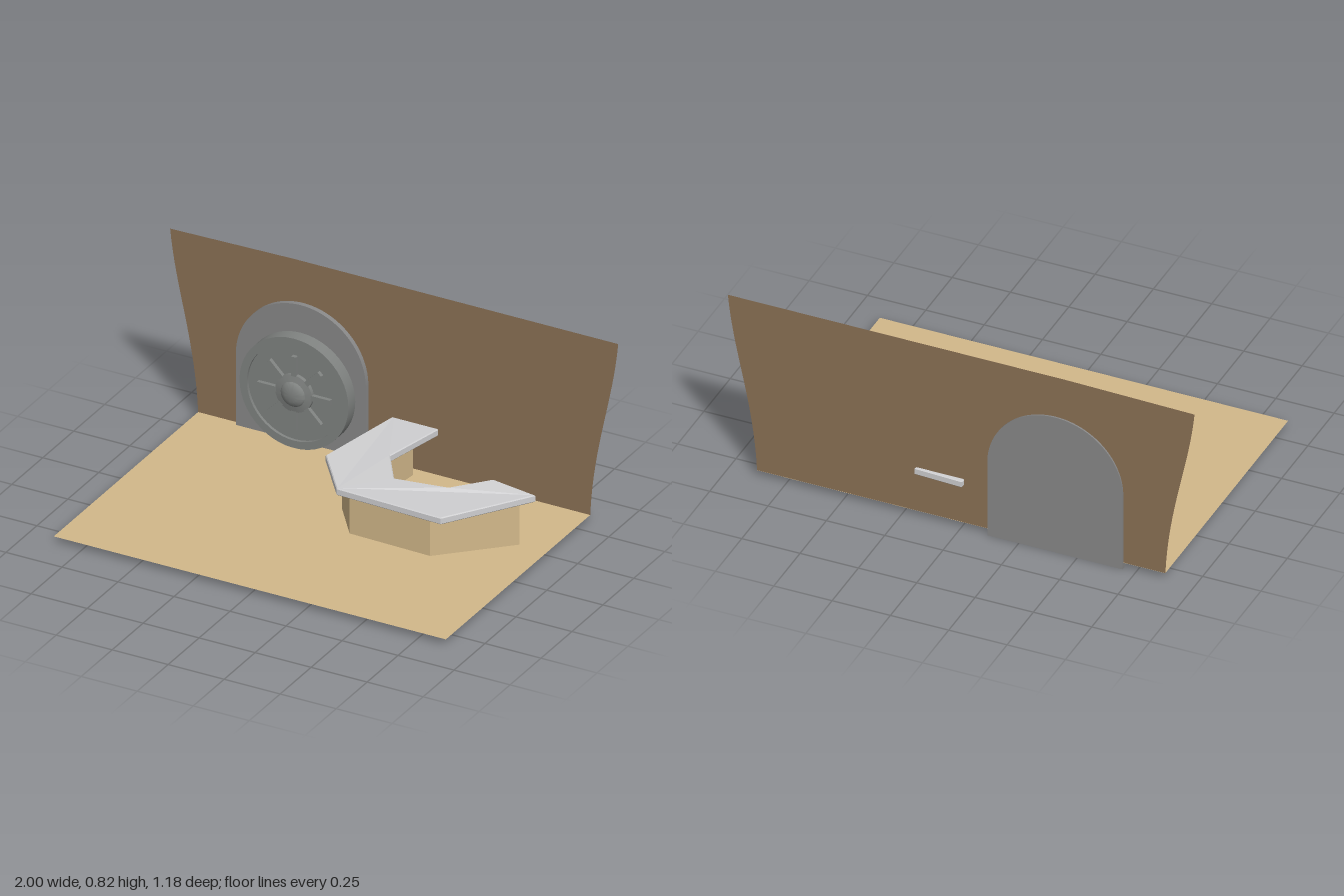
import * as THREE from 'three';
import { toCreasedNormals } from 'three/addons/utils/BufferGeometryUtils.js';

const mat = (name, color, side = THREE.FrontSide) => {
  const m = new THREE.MeshStandardMaterial({ color, side });
  m.name = name;
  return m;
};

export function createModel() {
  const tan = mat('tan', 0xd2b88a);
  const tanSheet = tan.clone();
  tanSheet.side = THREE.DoubleSide;
  const brown = mat('brown', 0x8b7155, THREE.DoubleSide);
  const grey = mat('doorGrey', 0x888888);
  const darkGrey = mat('wheelGrey', 0x808381);
  const lightGrey = mat('counterGrey', 0xd0d0d2);

  const model = new THREE.Group();
  model.name = 'counterRoom';
  const add = (name, geometry, material, parent = model) => {
    const mesh = new THREE.Mesh(geometry, material);
    mesh.name = name;
    parent.add(mesh);
    return mesh;
  };

  // Floor sheet
  const floor = new THREE.PlaneGeometry(1.75, 1.168).rotateX(-Math.PI / 2);
  add('floor', floor.translate(0, 0.028, 0.006), tanSheet);

  // Back wall with sides that flare outward toward the top
  const wall = new THREE.Shape();
  wall.moveTo(-0.875, 0.028);
  wall.lineTo(0.875, 0.028);
  wall.bezierCurveTo(0.89, 0.35, 0.975, 0.55, 1, 0.82);
  wall.lineTo(-0.45, 0.82);
  wall.lineTo(-1, 0.81);
  wall.bezierCurveTo(-0.975, 0.55, -0.89, 0.35, -0.875, 0.028);
  add('backWall', new THREE.ShapeGeometry(wall, 16).translate(0, 0, -0.577), brown);

  // Arched door slab
  const arch = new THREE.Shape();
  arch.moveTo(-0.29, 0);
  arch.lineTo(0.29, 0);
  arch.lineTo(0.29, 0.345);
  arch.absarc(0, 0.345, 0.29, 0, Math.PI, false);
  arch.lineTo(-0.29, 0);
  const slab = new THREE.ExtrudeGeometry(arch, { depth: 0.028, bevelEnabled: false, curveSegments: 32 });
  add('archedDoor', toCreasedNormals(slab.translate(-0.405, 0, -0.584), 0.6), grey);

  // Round hatch: raised rim, recessed face, hub and eight spokes
  const hatch = new THREE.Group();
  hatch.name = 'roundHatch';
  hatch.position.set(-0.405, 0.27, -0.557);
  model.add(hatch);
  const turned = (profile) => toCreasedNormals(
    new THREE.LatheGeometry(profile.map(([r, d]) => new THREE.Vector2(r, d)), 48).rotateX(Math.PI / 2), 0.6);
  add('hatchDisc', turned([[0.243, 0], [0.243, 0.057], [0.21, 0.057], [0.21, 0.044], [0, 0.044]]), darkGrey, hatch);
  add('hatchHub', turned([[0.082, 0.04], [0.082, 0.06], [0.054, 0.066], [0.048, 0.074],
    [0.028, 0.081], [0, 0.083]]), darkGrey, hatch);
  for (let i = 0; i < 8; i++) {
    const spoke = new THREE.BoxGeometry(0.09, 0.022, 0.022).translate(0.118, 0, 0.05);
    add('hatchSpoke', spoke.rotateZ(i * Math.PI / 4), darkGrey, hatch);
  }

  // Upright prism from a floor plan given as [x, z]
  const prism = (plan, y, height, bevel) => {
    const shape = new THREE.Shape(plan.map(([x, z]) => new THREE.Vector2(x, -z)));
    return new THREE.ExtrudeGeometry(shape, {
      depth: height - 2 * bevel, bevelEnabled: bevel > 0, bevelThickness: bevel,
      bevelSize: bevel, bevelOffset: -bevel, bevelSegments: 1,
    }).rotateX(-Math.PI / 2).translate(0, y + bevel, 0);
  };

  // Hook-shaped counter base
  add('counterBase', prism([
    [0.03, -0.525], [0, -0.155], [0.125, 0.01], [0.49, 0.02], [0.75, -0.23],
    [0.66, -0.26], [0.46, -0.07], [0.18, -0.075], [0.075, -0.21], [0.11, -0.53],
  ], 0.016, 0.2, 0), tan);

  // Counter top, its two ends sagging slightly
  const top = prism([
    [-0.01, -0.595], [-0.073, -0.155], [0.097, 0.065], [0.571, 0.081], [0.79, -0.287],
    [0.595, -0.3], [0.475, -0.155], [0.253, -0.118], [0.147, -0.279], [0.197, -0.585],
  ], 0.216, 0.031, 0.004);
  const p = top.attributes.position;
  for (let i = 0; i < p.count; i++) {
    const x = p.getX(i);
    const sag = x < 0.3 ? (-p.getZ(i) - 0.2) / 0.39 : (x - 0.57) / 0.22;
    p.setY(i, p.getY(i) - 0.016 * THREE.MathUtils.clamp(sag, 0, 1));
  }
  top.computeVertexNormals();
  add('counterTop', top, lightGrey);

  return model;
}
